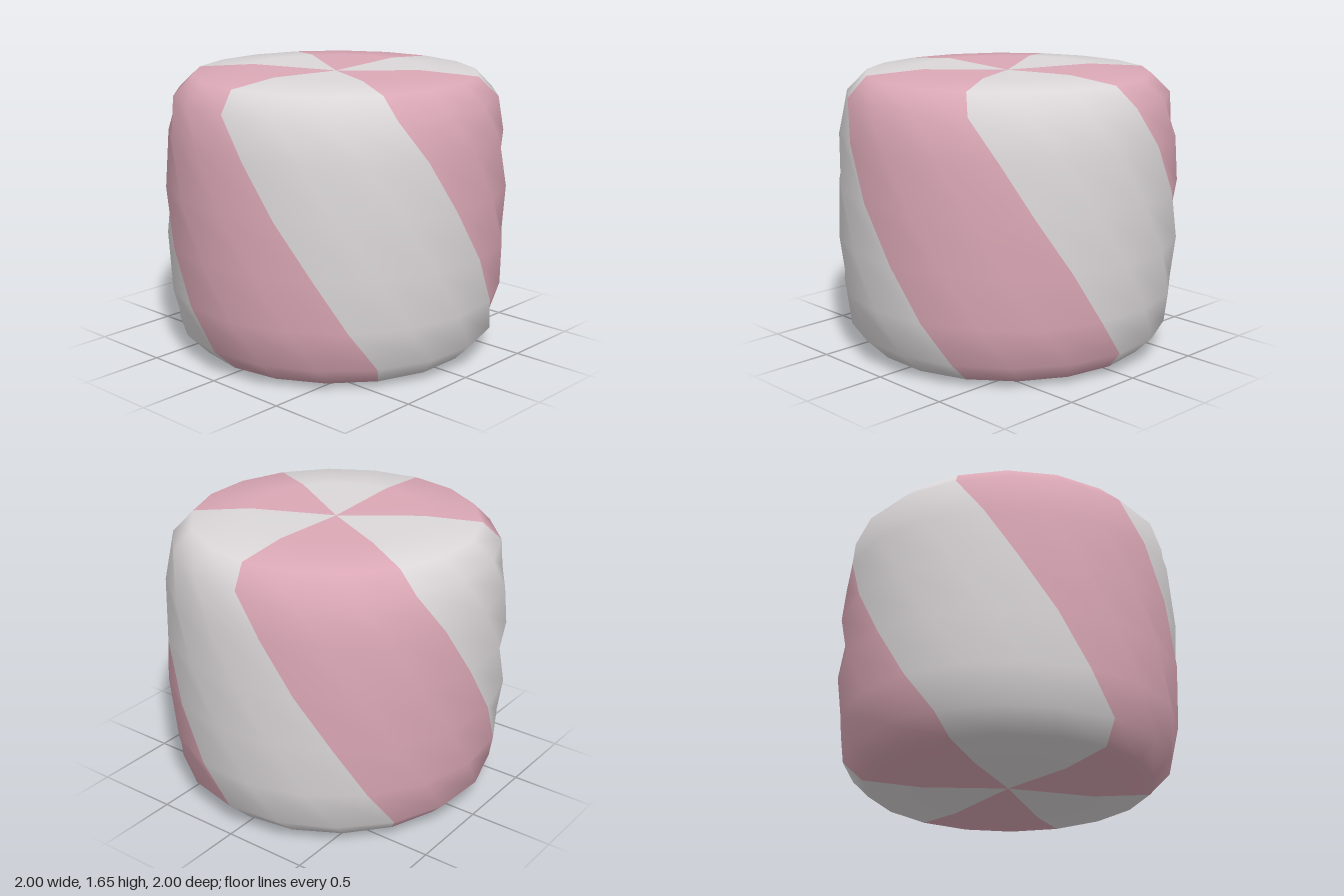
import * as THREE from 'three';

const SIDES = 18; // three columns per stripe, six stripes
const HEIGHT = 1.668;

export function createModel() {
  const white = new THREE.MeshStandardMaterial({ color: 0xdcd8da });
  white.name = 'soft white';
  const pink = new THREE.MeshStandardMaterial({ color: 0xdba8b6 });
  pink.name = 'candy pink';

  // Upper half of the pillowy profile: radius, height, twist in degrees
  const upper = [
    [0.5, 1.66, 0],
    [0.83, 1.635, 0.5],
    [0.945, 1.52, 3],
    [0.985, 1.29, 13],
    [1.003, 0.99, 24],
  ];
  // The lower half mirrors it, completing a 60 degree twist
  const lower = upper.map(([r, y, t]) => [r, HEIGHT - y, 60 - t]).reverse();
  const rings = [...upper, ...lower];

  // Vertices: ring by ring, then the two dimpled centres
  const positions = [];
  for (const [r, y, twist] of rings) {
    for (let i = 0; i < SIDES; i++) {
      const a = THREE.MathUtils.degToRad(twist + (i * 360) / SIDES);
      positions.push(r * Math.sin(a), y, r * Math.cos(a));
    }
  }
  const top = rings.length * SIDES;
  const bottom = top + 1;
  positions.push(0, 1.64, 0, 0, HEIGHT - 1.64, 0);

  // Faces: each column goes to one of the two stripe colours
  const faces = [[], []];
  for (let i = 0; i < SIDES; i++) {
    const j = (i + 1) % SIDES;
    const list = faces[Math.floor(i / 3) % 2];
    list.push(top, i, j);
    for (let k = 0; k < rings.length - 1; k++) {
      const a = k * SIDES + i, b = k * SIDES + j;
      const c = a + SIDES, d = b + SIDES;
      list.push(a, c, d, a, d, b);
    }
    const base = (rings.length - 1) * SIDES;
    list.push(bottom, base + j, base + i);
  }

  // One smooth surface with a group for each colour
  const geometry = new THREE.BufferGeometry();
  geometry.setAttribute('position', new THREE.Float32BufferAttribute(positions, 3));
  geometry.setIndex([...faces[0], ...faces[1]]);
  geometry.addGroup(0, faces[0].length, 0);
  geometry.addGroup(faces[0].length, faces[1].length, 1);
  geometry.computeVertexNormals();

  const body = new THREE.Mesh(geometry, [white, pink]);
  body.name = 'stripedMarshmallow';

  const model = new THREE.Group();
  model.name = 'marshmallow';
  model.add(body);
  return model;
}
